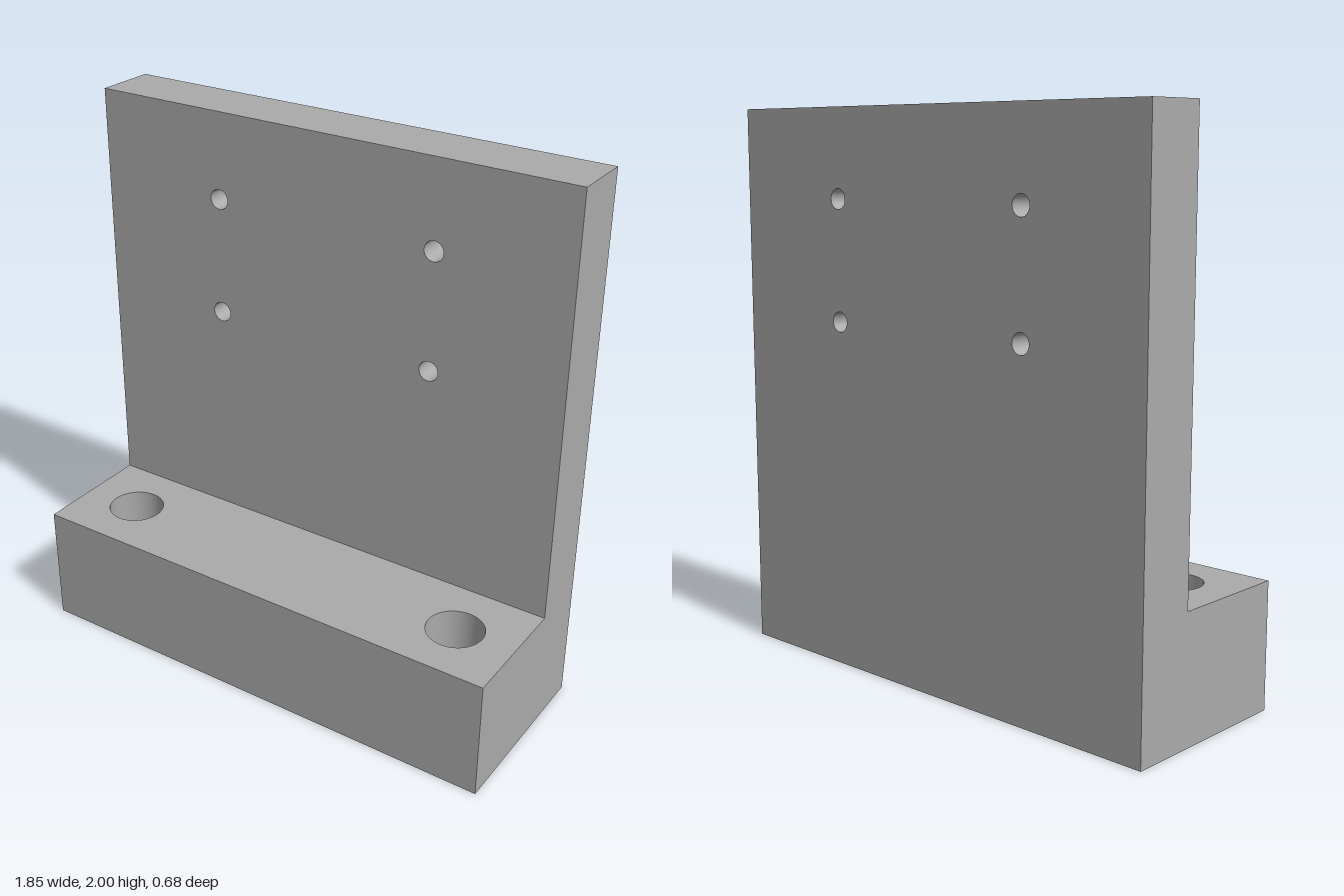
import * as THREE from 'three';
import { mergeGeometries } from 'three/addons/utils/BufferGeometryUtils.js';

const W = 0.925, H = 2, FRONT = 0.3375, BACK = -0.3375, STEP = -0.1125, BASE = 0.45;
const BOLT_X = 0.7, BOLT_Z = 0.1125, BOLT_R = 0.053, BORE_R = 0.103, BORE_FLOOR = 0.225;
const PIN_X = 0.428, PIN_YS = [1.258, 1.686], PIN_R = 0.036;

// Flat outline with round holes given as [x, y, radius]
function face(points, holes = []) {
  const shape = new THREE.Shape(points.map(([x, y]) => new THREE.Vector2(x, y)));
  for (const [x, y, r] of holes) shape.holes.push(new THREE.Path().absarc(x, y, r, 0, Math.PI * 2, true));
  return new THREE.ShapeGeometry(shape, 24);
}

const rect = (y0, y1) => [[-W, y0], [W, y0], [W, y1], [-W, y1]];

export function createModel() {
  const group = new THREE.Group();
  group.name = 'mountingBracket';
  const metal = new THREE.MeshStandardMaterial({ color: 0xaaaaaa, side: THREE.DoubleSide });
  metal.name = 'grey metal';

  const add = (name, geometry) => {
    const mesh = new THREE.Mesh(geometry, metal);
    mesh.name = name;
    group.add(mesh);
    return mesh;
  };

  const pins = [-PIN_X, PIN_X].flatMap((x) => PIN_YS.map((y) => [x, y, PIN_R]));
  const bolts = (r, sign) => [-BOLT_X, BOLT_X].map((x) => [x, sign * BOLT_Z, r]);

  // L-shaped ends, drawn with z along the shape's x
  const profile = [[BACK, 0], [FRONT, 0], [FRONT, BASE], [STEP, BASE], [STEP, H], [BACK, H]];
  const mirrored = profile.map(([z, y]) => [-z, y]);

  // Continuous outer skin of the bracket
  add('bracketBody', mergeGeometries([
    face(rect(0, BASE)).translate(0, 0, FRONT),
    face(rect(BASE, H), pins).translate(0, 0, STEP),
    face(rect(0, H), pins).rotateY(Math.PI).translate(0, 0, BACK),
    face(rect(-FRONT, -STEP), bolts(BORE_R, -1)).rotateX(-Math.PI / 2).translate(0, BASE, 0),
    face(rect(-STEP, -BACK)).rotateX(-Math.PI / 2).translate(0, H, 0),
    face(rect(BACK, FRONT), bolts(BOLT_R, 1)).rotateX(Math.PI / 2),
    face(mirrored).rotateY(Math.PI / 2).translate(W, 0, 0),
    face(profile).rotateY(-Math.PI / 2).translate(-W, 0, 0),
  ]));

  // Small holes through the upright plate
  for (const [x, y, r] of pins) {
    add('plateHole', new THREE.CylinderGeometry(r, r, STEP - BACK, 48, 1, true).rotateX(Math.PI / 2))
      .position.set(x, y, (STEP + BACK) / 2);
  }

  // Counterbored bolt holes through the foot
  for (const x of [-BOLT_X, BOLT_X]) {
    add('counterbore', mergeGeometries([
      new THREE.CylinderGeometry(BORE_R, BORE_R, BASE - BORE_FLOOR, 48, 1, true)
        .translate(0, (BASE + BORE_FLOOR) / 2, 0),
      new THREE.RingGeometry(BOLT_R, BORE_R, 48).rotateX(-Math.PI / 2).translate(0, BORE_FLOOR, 0),
      new THREE.CylinderGeometry(BOLT_R, BOLT_R, BORE_FLOOR, 48, 1, true).translate(0, BORE_FLOOR / 2, 0),
    ])).position.set(x, 0, BOLT_Z);
  }
  return group;
}
